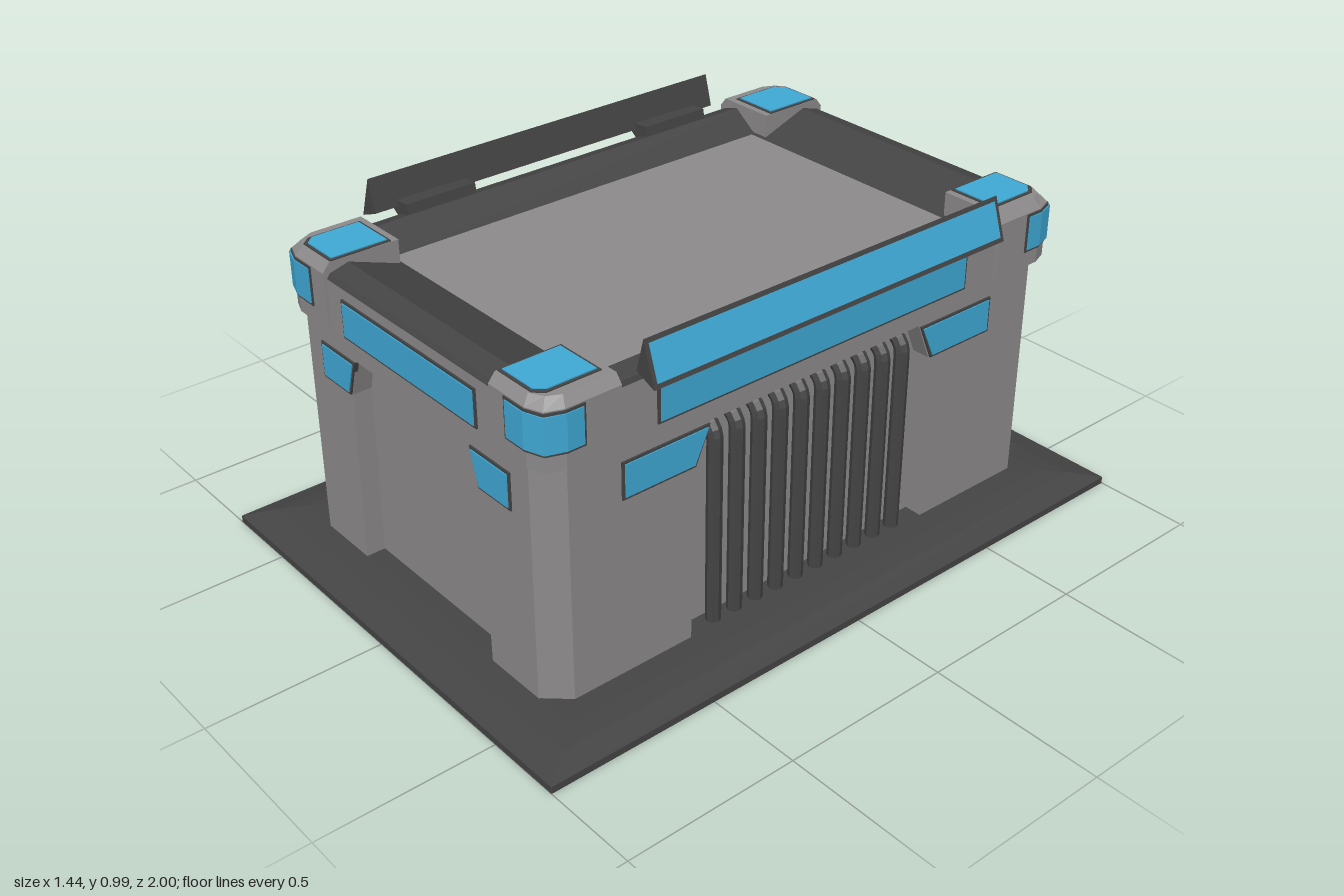
import * as THREE from 'three';

const mat = (color) => new THREE.MeshStandardMaterial({ color, flatShading: true, side: THREE.DoubleSide });
const grey = mat(0x8c8a8a);
const dark = mat(0x444444);
const blue = mat(0x3fa9d5);

function add(parent, name, geometry, material) {
  const mesh = new THREE.Mesh(geometry, material);
  mesh.name = name;
  parent.add(mesh);
  return mesh;
}

// Skin between plan outlines [x, w] (w = -z, counter-clockwise from above) at rising heights.
function loft(levels, capBottom = true, capTop = true) {
  const p = [];
  const put = (y, ...pts) => pts.forEach(([x, w]) => p.push(x, y, -w));
  for (let k = 0; k + 1 < levels.length; k++) {
    const [y0, a] = levels[k], [y1, b] = levels[k + 1];
    a.forEach((_, i) => {
      const j = (i + 1) % a.length;
      put(y0, a[i], a[j]); put(y1, b[j]);
      put(y0, a[i]); put(y1, b[j], b[i]);
    });
  }
  const fan = ([y, a], up) => {
    for (let i = 1; i + 1 < a.length; i++) put(y, a[0], a[up ? i : i + 1], a[up ? i + 1 : i]);
  };
  if (capBottom) fan(levels[0], false);
  if (capTop) fan(levels[levels.length - 1], true);
  const g = new THREE.BufferGeometry();
  g.setAttribute('position', new THREE.Float32BufferAttribute(p, 3));
  g.computeVertexNormals();
  return g;
}

// Full outline from the points of one quadrant.
function mirrorPlan(q) {
  const r = [...q].reverse();
  return [...q, ...r.map(([x, w]) => [-x, w]), ...q.map(([x, w]) => [-x, -w]), ...r.map(([x, w]) => [x, -w])];
}
const chamfered = (x, z, c) => mirrorPlan([[x, z - c], [x - c, z]]);
const notched = (side, front) => mirrorPlan([
  [0.487, side], [0.54, side], [0.54, 0.79], [0.48, 0.855], [front, 0.855], [front, 0.8],
]);

// Blue glass in a thin dark frame, lying on a wall that faces +z.
function framedPanel(parent, name, pts, z) {
  const xs = pts.map((p) => p[0]), ys = pts.map((p) => p[1]);
  const x0 = Math.min(...xs), x1 = Math.max(...xs), y0 = Math.min(...ys), y1 = Math.max(...ys);
  const cx = (x0 + x1) / 2, cy = (y0 + y1) / 2;
  const plate = (m, depth) => {
    const fx = 1 - 2 * m / (x1 - x0), fy = 1 - 2 * m / (y1 - y0);
    const s = new THREE.Shape(pts.map(([x, y]) => new THREE.Vector2(cx + (x - cx) * fx, cy + (y - cy) * fy)));
    return new THREE.ExtrudeGeometry(s, { depth, bevelEnabled: false }).translate(0, 0, z - 0.01);
  };
  add(parent, name + 'Frame', plate(0, 0.015), dark);
  add(parent, name, plate(0.007, 0.018), blue);
}

// Corner block with a wrap-around lamp and a roof lamp.
function cornerBlock(sx, sw) {
  const group = new THREE.Group();
  group.name = 'cornerBlock';
  const place = (pts) => {
    const r = pts.map(([x, w]) => [x * sx, w * sw]);
    return sx * sw < 0 ? r.reverse() : r;
  };
  const outline = (d) => place([
    [0.355, 0.64], [0.555 - d, 0.64], [0.555 - d, 0.8 - d / 2], [0.537 - d, 0.847 - d],
    [0.49 - d / 2, 0.865 - d], [0.355, 0.865 - d],
  ]);
  add(group, 'cornerBody', loft([[0.72, outline(0)], [0.88, outline(0)], [0.905, outline(0.02)]]), grey);

  const wrap = (d, m) => place([
    [0.46, 0.745 + m], [0.555 + d, 0.745 + m], [0.555 + d, 0.8], [0.537 + d, 0.847 + d],
    [0.49, 0.865 + d], [0.415 + m, 0.865 + d], [0.415 + m, 0.78],
  ]);
  add(group, 'cornerLampFrame', loft([[0.765, wrap(0.003, 0)], [0.877, wrap(0.003, 0)]]), dark);
  add(group, 'cornerLamp', loft([[0.772, wrap(0.006, 0.007)], [0.87, wrap(0.006, 0.007)]]), blue);

  const roof = (m) => place([
    [0.357 + m, 0.66 + m], [0.508 - m, 0.66 + m], [0.508 - m, 0.815 - m], [0.485 - m, 0.84 - m], [0.357 + m, 0.84 - m],
  ]);
  add(group, 'roofLampFrame', loft([[0.89, roof(0)], [0.908, roof(0)]]), dark);
  add(group, 'roofLamp', loft([[0.89, roof(0.008)], [0.911, roof(0.008)]]), blue);
  return group;
}

// One wall's strip light and its two slanted lamps.
function wallLights(angle, dist, strip, top, bottom, outer) {
  const group = new THREE.Group();
  group.name = 'wallLights';
  group.rotation.y = angle;
  framedPanel(group, 'stripLight', [[-strip, 0.725], [strip, 0.725], [strip, 0.833], [-strip, 0.833]], dist);
  for (const s of [-1, 1]) {
    framedPanel(group, 'slantedLamp',
      [[s * bottom, 0.56], [s * outer, 0.56], [s * outer, 0.665], [s * top, 0.665]], dist);
  }
  return group;
}

// Side wall pipes, bent into the wall at the top.
function pipeRow(angle, dist) {
  const group = new THREE.Group();
  group.name = 'pipeRow';
  group.rotation.y = angle;
  const v = (y, z) => new THREE.Vector3(0, y, z);
  const path = new THREE.CurvePath();
  path.add(new THREE.LineCurve3(v(0.04, dist), v(0.59, dist)));
  path.add(new THREE.QuadraticBezierCurve3(v(0.59, dist), v(0.64, dist), v(0.642, dist - 0.06)));
  const geometry = new THREE.TubeGeometry(path, 40, 0.021, 8);
  for (let i = 0; i < 10; i++) add(group, 'pipe', geometry, dark).position.x = -0.326 + i * 0.0725;
  return group;
}

// Raised, tilted panel along one side of the roof.
function roofWing(angle) {
  const group = new THREE.Group();
  group.name = 'roofWing';
  group.rotation.y = angle;
  const prism = (pts, length) => new THREE.ExtrudeGeometry(
    new THREE.Shape(pts.map(([o, y]) => new THREE.Vector2(o, y))), { depth: length, bevelEnabled: false },
  ).translate(0, 0, -length / 2).rotateY(-Math.PI / 2);
  add(group, 'wingBody', prism([[0.608, 0.868], [0.57, 0.985], [0.545, 0.893]], 1.18), dark);
  add(group, 'wingGlass', prism([[0.606, 0.881], [0.576, 0.973], [0.57, 0.972], [0.6, 0.88]], 1.156), blue);
  for (const s of [-1, 1]) {
    const bracket = prism([[0.49, 0.86], [0.535, 0.86], [0.57, 0.885], [0.56, 0.91], [0.5, 0.915]], 0.22);
    add(group, 'wingBracket', bracket, dark).position.x = s * 0.41;
  }
  return group;
}

export function createModel() {
  const model = new THREE.Group();
  model.name = 'bunker';

  // Ground slab with sloping edges
  const slab = (x, z) => chamfered(x, z, 0.001);
  add(model, 'groundSlab', loft([
    [0, slab(0.722, 1)], [0.02, slab(0.722, 1)], [0.04, slab(0.66, 0.92)], [0.05, slab(0.605, 0.85)],
  ]), dark);

  // Walls with a recess on every side, and the band above
  add(model, 'lowerWalls', loft([
    [0.045, notched(0.42, 0.29)], [0.56, notched(0.405, 0.28)], [0.67, notched(0.36, 0.252)],
  ], false, false), grey);
  const wall = mirrorPlan([[0.54, 0.79], [0.48, 0.855]]);
  add(model, 'upperWalls', loft([[0.67, wall], [0.862, wall]], true, false), grey);

  // Roof rim and sunken roof
  const inner = chamfered(0.405, 0.63, 0.004);
  add(model, 'roofRim', loft([
    [0.862, wall], [0.875, mirrorPlan([[0.535, 0.785], [0.475, 0.845]])],
    [0.89, mirrorPlan([[0.485, 0.76], [0.45, 0.79]])], [0.833, inner],
  ], false, false), dark);
  add(model, 'roofFloor', loft([[0.8, inner], [0.833, inner]]), grey);

  for (const sx of [-1, 1]) for (const sw of [-1, 1]) model.add(cornerBlock(sx, sw));

  for (const a of [0, Math.PI]) model.add(wallLights(a, 0.855, 0.288, 0.252, 0.283, 0.41));
  for (const s of [-1, 1]) {
    const a = s * Math.PI / 2;
    model.add(wallLights(a, 0.54, 0.526, 0.365, 0.41, 0.635));
    model.add(pipeRow(a, s > 0 ? 0.517 : 0.537));
    model.add(roofWing(a));
  }
  return model;
}
